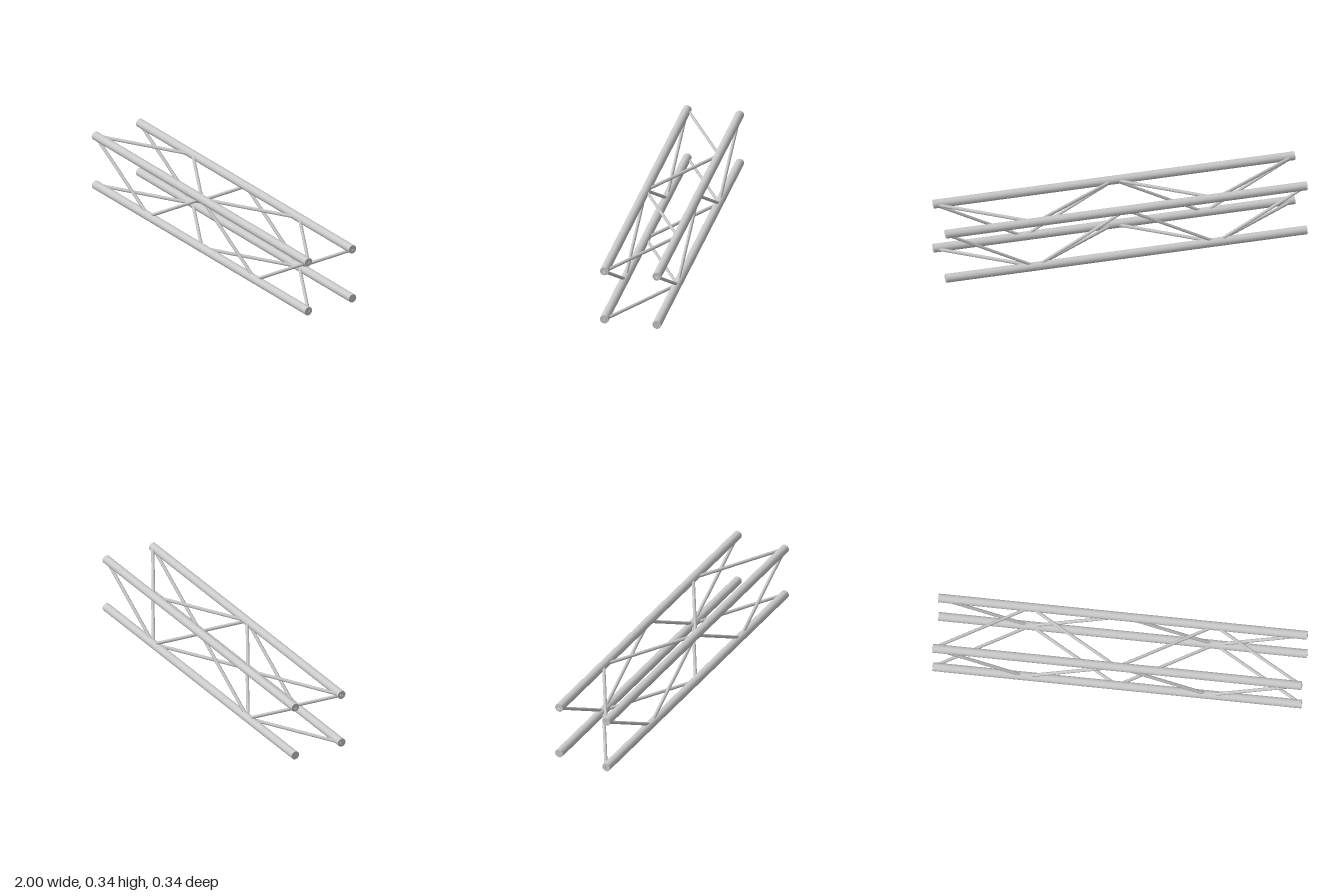
import * as THREE from 'three';

const END = 0.9955;    // half length of the chords
const HALF = 0.1445;   // half spacing between chord centres
const MID_Y = 0.1695;  // height of the truss axis
const CHORD_R = 0.024;
const BRACE_R = 0.009;

export function createModel() {
  const group = new THREE.Group();
  group.name = 'boxTruss';
  const material = new THREE.MeshStandardMaterial({ color: 0xcccccc });

  // Four long corner tubes
  const chordGeometry = new THREE.CylinderGeometry(CHORD_R, CHORD_R, 2 * END, 12);
  chordGeometry.rotateZ(-Math.PI / 2);
  for (const sy of [-1, 1]) {
    for (const sz of [-1, 1]) {
      const chord = new THREE.Mesh(chordGeometry, material);
      chord.name = (sy > 0 ? 'upper' : 'lower') + (sz > 0 ? 'Front' : 'Back') + 'Chord';
      chord.position.set(0, MID_Y + sy * HALF, sz * HALF);
      group.add(chord);
    }
  }

  // Thin six-sided diagonals, with a ridge lying in the plane of their face
  const braceLength = Math.hypot(END / 2, 2 * HALF);
  const braceGeometry = new THREE.CylinderGeometry(BRACE_R, BRACE_R, braceLength, 6);
  function addBrace(parent, a, b, normal) {
    const along = b.clone().sub(a).normalize();
    const across = normal.clone().cross(along);
    const brace = new THREE.Mesh(braceGeometry, material);
    brace.name = 'diagonalBrace';
    brace.quaternion.setFromRotationMatrix(new THREE.Matrix4().makeBasis(normal, along, across));
    brace.position.copy(a).add(b).multiplyScalar(0.5);
    parent.add(brace);
  }

  // A zigzag of four braces on each side; point(x, s) maps into that face
  function addZigzag(name, normal, point) {
    const lacing = new THREE.Group();
    lacing.name = name;
    for (let i = 0; i < 4; i++) {
      const s = i % 2 ? -1 : 1;
      const x = -END + (i * END) / 2;
      addBrace(lacing, point(x, s * HALF), point(x + END / 2, -s * HALF), normal);
    }
    group.add(lacing);
  }
  for (const side of [-1, 1]) {
    addZigzag(side > 0 ? 'frontLacing' : 'backLacing', new THREE.Vector3(0, 0, side),
      (x, s) => new THREE.Vector3(x, MID_Y + s, side * HALF));
    addZigzag(side > 0 ? 'topLacing' : 'bottomLacing', new THREE.Vector3(0, side, 0),
      (x, s) => new THREE.Vector3(x, MID_Y + side * HALF, s));
  }
  return group;
}
